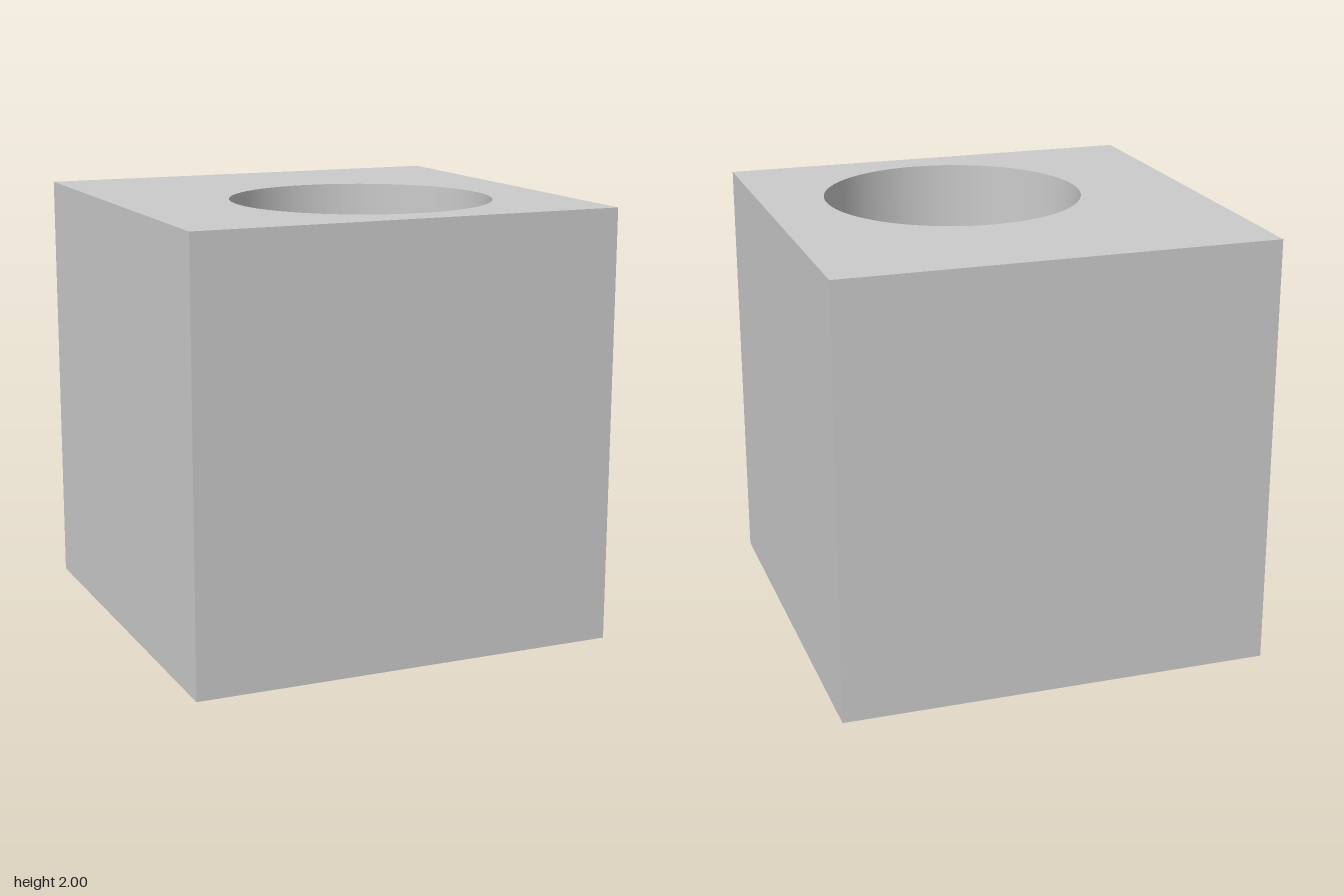
import * as THREE from 'three';
import { toCreasedNormals } from 'three/addons/utils/BufferGeometryUtils.js';

const SIZE = 2;
const HOLE = { x: 0.105, z: 0.23, radius: 0.603 };

export function createModel() {
  const group = new THREE.Group();
  const h = SIZE / 2;

  // Square outline with an off-centre round hole (shape y becomes -z)
  const outline = new THREE.Shape([
    new THREE.Vector2(-h, -h),
    new THREE.Vector2(h, -h),
    new THREE.Vector2(h, h),
    new THREE.Vector2(-h, h),
  ]);
  const hole = new THREE.Path();
  hole.absarc(HOLE.x, -HOLE.z, HOLE.radius, 0, Math.PI * 2, true);
  outline.holes.push(hole);

  // Extruded upwards; the bore is smooth, the cube edges stay sharp
  const extruded = new THREE.ExtrudeGeometry(outline, {
    depth: SIZE,
    bevelEnabled: false,
    curveSegments: 64,
  });
  extruded.rotateX(-Math.PI / 2);

  const block = new THREE.Mesh(
    toCreasedNormals(extruded, Math.PI / 6),
    new THREE.MeshStandardMaterial({ color: 0xcccccc })
  );
  block.name = 'boredBlock';
  group.add(block);

  return group;
}
